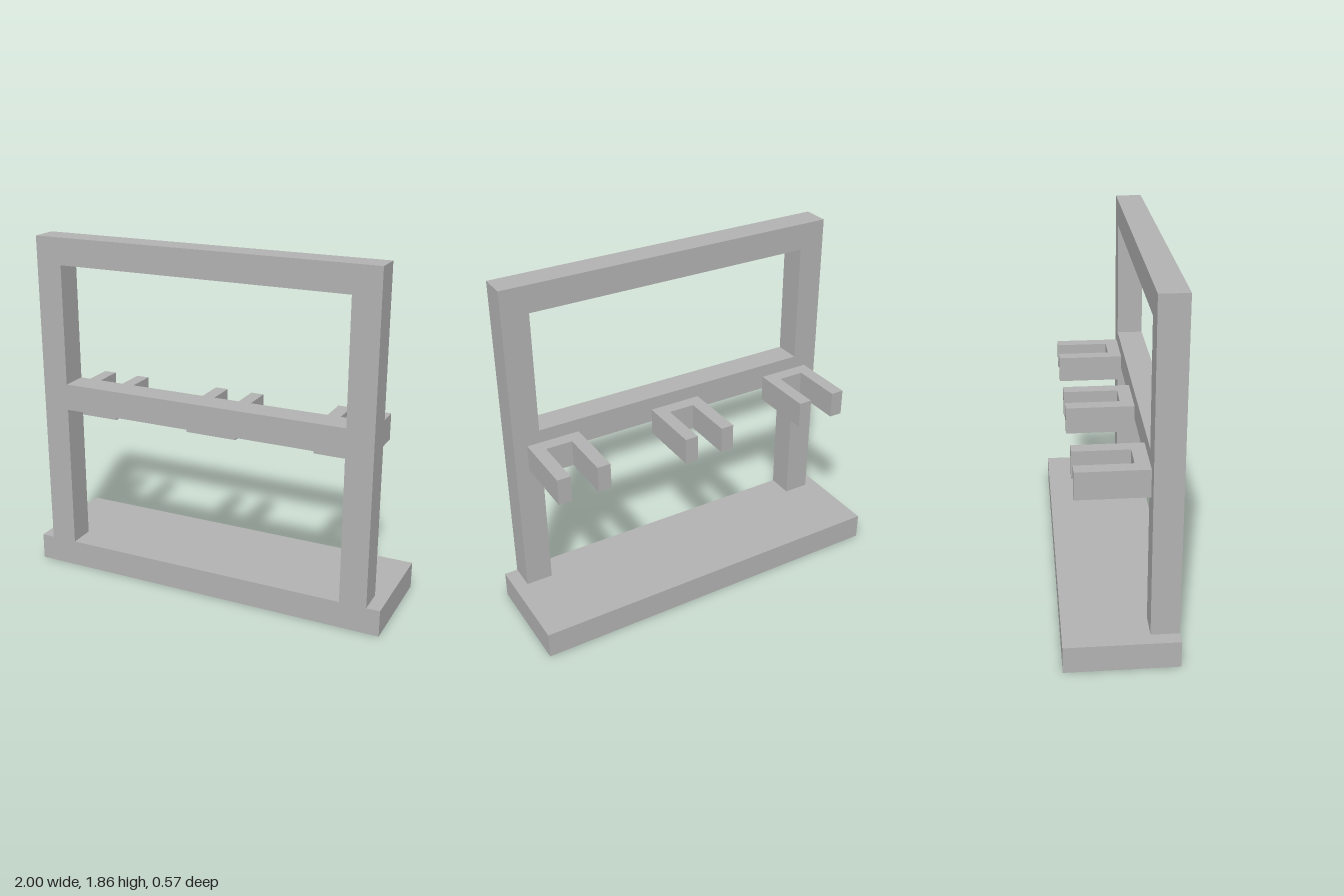
import * as THREE from 'three';

const U = 1 / 14; // all sizes are whole multiples of this unit

const outline = (points) =>
  points.map(([x, y]) => new THREE.Vector2(x * U, y * U));

function extrude(points, depth, holes = []) {
  const shape = new THREE.Shape(outline(points));
  for (const hole of holes) shape.holes.push(new THREE.Path(outline(hole)));
  return new THREE.ExtrudeGeometry(shape, { depth: depth * U, bevelEnabled: false });
}

export function createModel() {
  const group = new THREE.Group();
  const grey = new THREE.MeshStandardMaterial({ color: 0xb2b2b2 });
  grey.name = 'grey';

  const add = (name, geometry, x, y, z) => {
    const mesh = new THREE.Mesh(geometry, grey);
    mesh.name = name;
    mesh.position.set(x * U, y * U, z * U);
    group.add(mesh);
  };

  // Flat base slab
  add('base', new THREE.BoxGeometry(28 * U, 2 * U, 8 * U), 0, 1, 0);

  // Upright frame: two posts, top rail and middle rail, with an open bottom
  const frame = extrude(
    [[-13, 2], [-11, 2], [-11, 13], [11, 13], [11, 2], [13, 2], [13, 26], [-13, 26]],
    2,
    [[[-11, 15], [-11, 24], [11, 24], [11, 15]]]
  );
  add('frame', frame, 0, 0, 2);

  // U-shaped hooks behind the middle rail, prongs pointing back
  const hook = extrude(
    [[-2, -2], [2, -2], [2, 3], [1, 3], [1, -1], [-1, -1], [-1, 3], [-2, 3]],
    2
  );
  hook.rotateX(-Math.PI / 2); // outline y becomes -z, depth becomes y
  ['rightHook', 'middleHook', 'leftHook'].forEach((name, i) =>
    add(name, hook, (i - 1) * 10, 12, 0)
  );

  return group;
}
